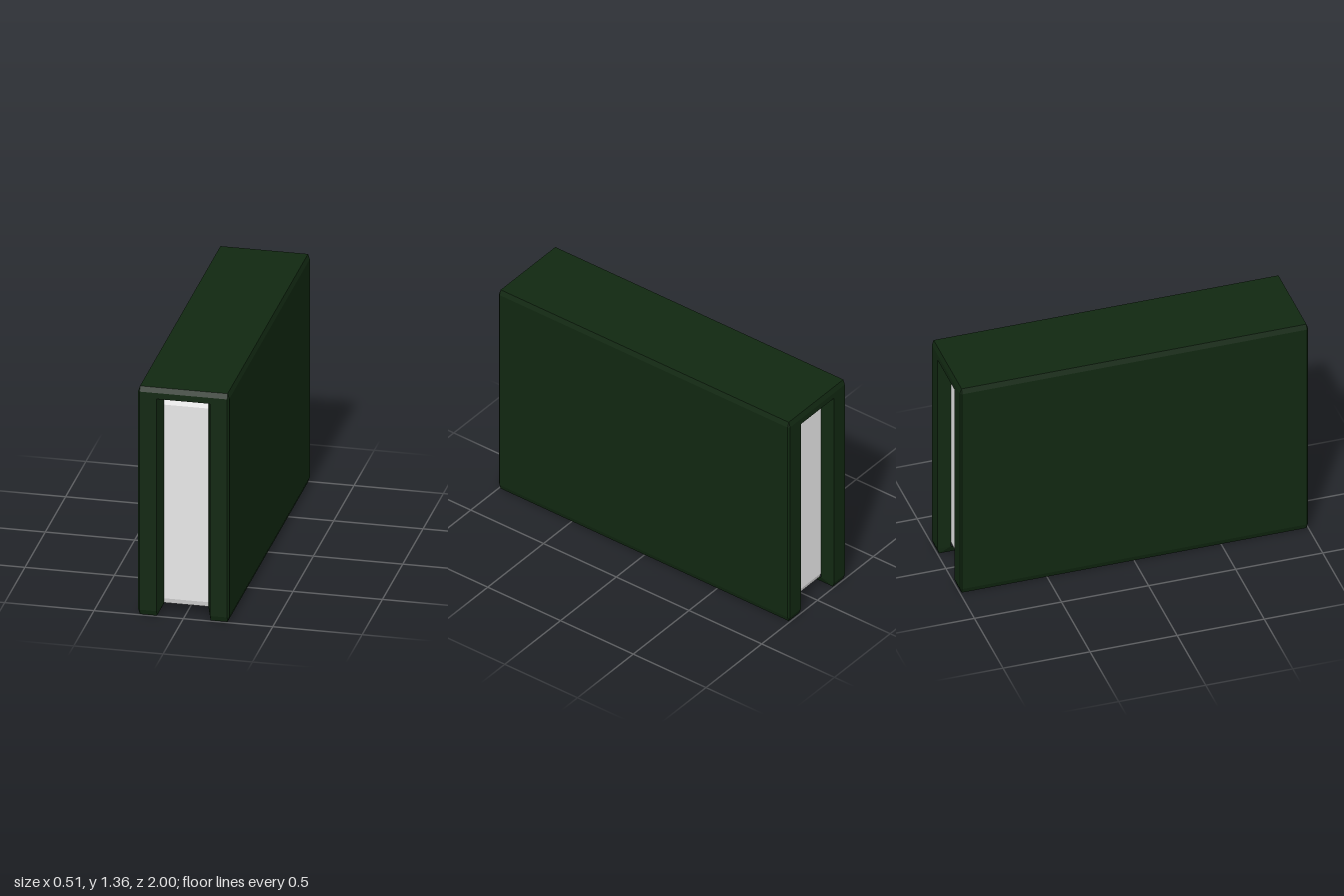
import * as THREE from 'three';

const coverGreen = new THREE.MeshStandardMaterial({ color: 0x112811 });
coverGreen.name = 'dark green cover';
const paper = new THREE.MeshStandardMaterial({ color: 0xe7e7e7 });
paper.name = 'paper';

// One half of a loop round the cover's rim (front top, bottom, back top);
// the other half is the same points turned 180 degrees about y.
function rimLoop({ x, z, topX = x, top, panelTop = top, bottom, bevelZ = z, bevelY = bottom, topZ = z }) {
  const half = [
    [topX, top, topZ], [x, panelTop, z],
    [x, bevelY, z], [x, bottom, bevelZ],
    [x, bottom, -bevelZ], [x, bevelY, -z],
    [x, panelTop, -z], [topX, top, -topZ],
  ];
  return [...half, ...half.map(([px, py, pz]) => [-px, py, -pz])];
}

// Cover: an upside-down U with chamfered edges, lofted from inner to outer rim
function coverGeometry() {
  const loops = [
    rimLoop({ x: 0.125, z: 0.93, top: 1.26, bottom: 0.05 }),
    rimLoop({ x: 0.15, z: 1, top: 1.29, bottom: 0, bevelZ: 0.99, bevelY: 0.03 }),
    rimLoop({ x: 0.245, z: 1, top: 1.325, bottom: 0, bevelZ: 0.99, bevelY: 0.03 }),
    rimLoop({ x: 0.255, z: 0.99, topX: 0.245, top: 1.355, panelTop: 1.325, bottom: 0.03 }),
  ];
  const positions = [];
  const triangle = (a, b, c) => {
    const [A, B, C] = [a, b, c].map((p) => new THREE.Vector3(...p));
    if (B.sub(A).cross(C.sub(A)).length() > 1e-9) positions.push(...a, ...b, ...c);
  };
  const quad = (a, b, c, d) => { triangle(a, b, c); triangle(a, c, d); };

  for (let k = 0; k < loops.length - 1; k++) {
    for (let i = 0; i < 16; i++) {
      const j = (i + 1) % 16;
      quad(loops[k][i], loops[k][j], loops[k + 1][j], loops[k + 1][i]);
    }
  }
  // Side boards, long spine chamfers and the spine's flat
  const outer = loops[3];
  for (const s of [0, 8]) {
    quad(outer[s + 1], outer[s + 2], outer[s + 5], outer[s + 6]);
    quad(outer[s], outer[s + 1], outer[s + 6], outer[s + 7]);
  }
  quad(outer[15], outer[0], outer[7], outer[8]);

  const geometry = new THREE.BufferGeometry();
  geometry.setAttribute('position', new THREE.Float32BufferAttribute(positions, 3));
  geometry.computeVertexNormals();
  return geometry;
}

// Page block: chamfered side outline extruded across the thickness
function pagesGeometry() {
  const z = 0.93, y0 = 0.05, y1 = 1.26, cz = 0.01, cy = 0.03;
  const outline = new THREE.Shape([
    [-z + cz, y0], [z - cz, y0], [z, y0 + cy], [z, y1 - cy],
    [z - cz, y1], [-z + cz, y1], [-z, y1 - cy], [-z, y0 + cy],
  ].map(([a, b]) => new THREE.Vector2(a, b)));
  return new THREE.ExtrudeGeometry(outline, { depth: 0.25, bevelEnabled: false })
    .rotateY(-Math.PI / 2)
    .translate(0.125, 0, 0);
}

export function createModel() {
  const book = new THREE.Group();
  book.name = 'book';

  const cover = new THREE.Mesh(coverGeometry(), coverGreen);
  cover.name = 'cover';
  const pages = new THREE.Mesh(pagesGeometry(), paper);
  pages.name = 'pages';

  book.add(cover, pages);
  return book;
}
